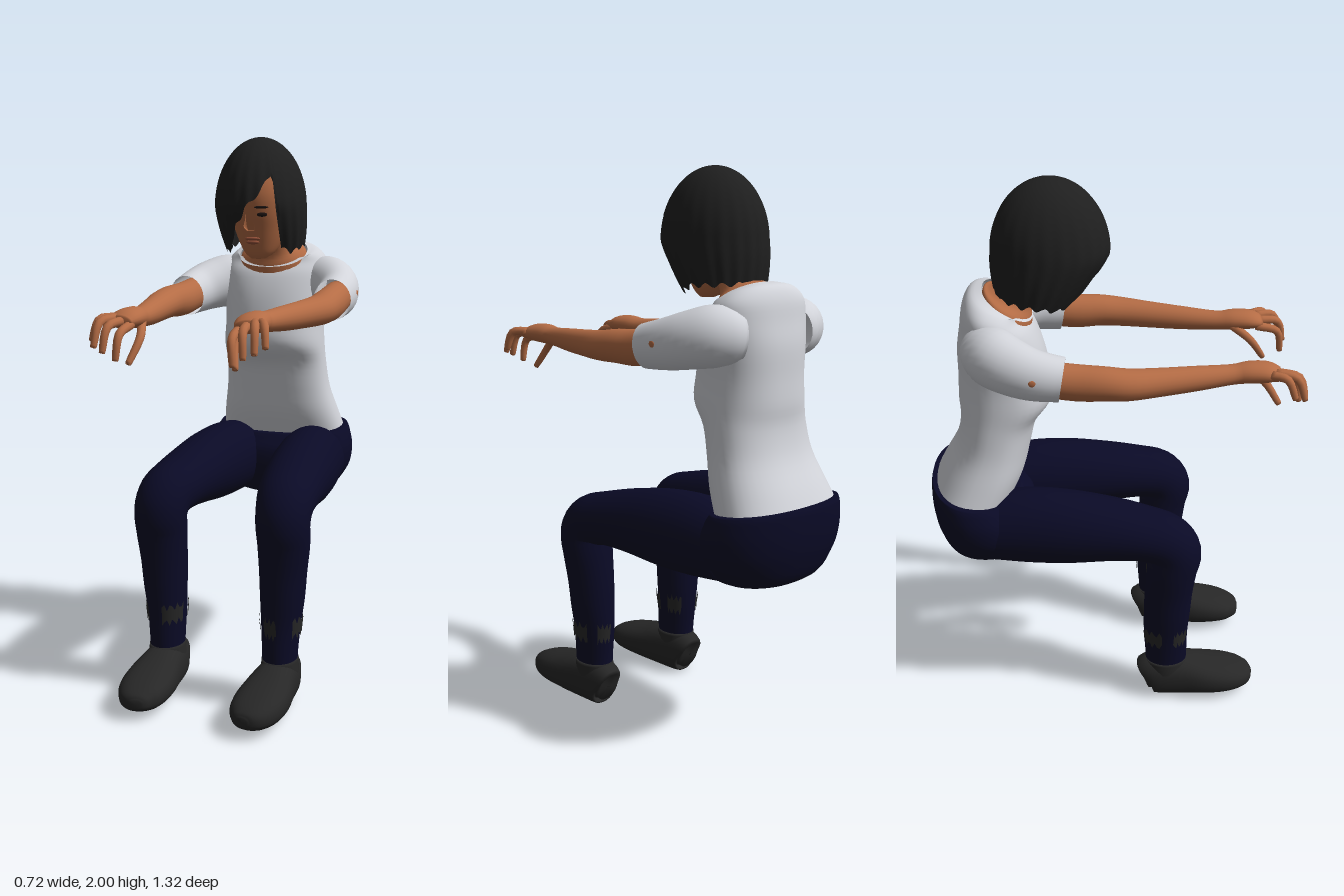
import * as THREE from 'three';

const flat = (name, color, side = THREE.FrontSide) => {
  const m = new THREE.MeshStandardMaterial({ color, side });
  m.name = name;
  return m;
};

// Smooth skin over elliptical sections. Row: [x, y, z, halfWidth, halfDepth, tilt].
// With level = true the sections stay horizontal and tilt slopes them along z.
function loft(rows, { level = false, power = 2, seg = 28, sub = 4, caps = true, floor = -1 } = {}) {
  const path = new THREE.CatmullRomCurve3(rows.map(r => new THREE.Vector3(r[0], r[1], r[2])), false, 'catmullrom');
  const size = new THREE.CatmullRomCurve3(rows.map(r => new THREE.Vector3(r[3], r[4], r[5] || 0)), false, 'catmullrom');
  const steps = (rows.length - 1) * sub, pos = [], idx = [];
  const bend = v => Math.sign(v) * Math.abs(v) ** (2 / power);
  for (let i = 0; i <= steps; i++) {
    const c = path.getPoint(i / steps), s = size.getPoint(i / steps);
    const t = level ? new THREE.Vector3(0, 1, 0) : path.getTangent(i / steps);
    const side = new THREE.Vector3(1, 0, 0).addScaledVector(t, -t.x).normalize();
    const up = t.clone().cross(side);
    for (let j = 0; j < seg; j++) {
      const a = j / seg * Math.PI * 2;
      const p = c.clone().addScaledVector(side, s.x * bend(Math.cos(a))).addScaledVector(up, s.y * bend(Math.sin(a)));
      if (level) p.y += s.z * (p.z - c.z);
      pos.push(p.x, Math.max(p.y, floor), p.z);
    }
  }
  for (let i = 0; i < steps; i++) for (let j = 0; j < seg; j++) {
    const k = (j + 1) % seg, a = i * seg + j, b = i * seg + k;
    idx.push(a, b, a + seg, b, b + seg, a + seg);
  }
  if (caps) {
    const first = rows[0], last = rows[rows.length - 1], n = pos.length / 3;
    pos.push(first[0], first[1], first[2], last[0], last[1], last[2]);
    for (let j = 0; j < seg; j++) {
      const k = (j + 1) % seg;
      idx.push(n, k, j, n + 1, steps * seg + j, steps * seg + k);
    }
  }
  return finish(pos, idx);
}

function finish(pos, idx) {
  const g = new THREE.BufferGeometry();
  g.setAttribute('position', new THREE.Float32BufferAttribute(pos, 3));
  g.setIndex(idx);
  g.computeVertexNormals();
  return g;
}

// Bob haircut: a dome whose lower edge follows a line around the head
function hairGeometry() {
  const edge = [[-180, 1.62], [-90, 1.6], [-60, 1.585], [-36, 1.59], [-29, 1.63], [0, 1.735], [20, 1.8],
    [37, 1.87], [42, 1.6], [60, 1.585], [90, 1.61], [180, 1.62]];
  const cols = 144, rows = 26, pos = [], idx = [];
  for (let i = 0; i <= cols; i++) {
    const deg = -180 + 360 * i / cols, a = deg * Math.PI / 180;
    const k = Math.max(1, edge.findIndex(e => e[0] >= deg));
    const [d0, y0] = edge[k - 1], [d1, y1] = edge[k];
    const bottom = y0 + (y1 - y0) * (deg - d0) / (d1 - d0) + 0.008 * Math.sin(a * 17);
    for (let j = 0; j <= rows; j++) {
      const v = j / rows, y = 2 - (2 - bottom) * (1 - Math.cos(v * Math.PI / 2));
      const h = Math.max(0, (y - 1.75) / 0.25), d = Math.max(0, (1.75 - y) / 0.15);
      const dome = Math.sqrt(Math.max(0, 1 - h * h)) * (1 + 0.012 * v * v * Math.sin(a * 22));
      const w = (0.166 - 0.018 * d * d) * dome, b = (0.2 - 0.055 * d ** 1.3) * dome;
      pos.push(w * Math.sin(a), y, -0.198 - 0.045 * d + b * Math.cos(a));
    }
  }
  for (let i = 0; i < cols; i++) for (let j = 0; j < rows; j++) {
    const a = i * (rows + 1) + j, b = a + rows + 1;
    idx.push(a, a + 1, b, b, a + 1, b + 1);
  }
  return finish(pos, idx);
}

export function createModel() {
  const skin = flat('skin', 0xb46c45), shirt = flat('shirt', 0xd2d4da, THREE.DoubleSide);
  const denim = flat('navy denim', 0x0a0a26, THREE.DoubleSide), hair = flat('hair', 0x1f1f1f, THREE.DoubleSide);
  const shoe = flat('shoe grey', 0x272727), lip = flat('lips', 0x96523a), dark = flat('eye dark', 0x1a1210);
  const model = new THREE.Group();
  const add = (name, geo, mat, parent = model) => {
    const m = new THREE.Mesh(geo, mat);
    m.name = name;
    parent.add(m);
    return m;
  };
  const blob = (name, mat, p, s, parent = model) => {
    const m = add(name, new THREE.SphereGeometry(1, 14, 10), mat, parent);
    m.position.set(...p);
    m.scale.set(...s);
    return m;
  };

  // Torso, neck and pelvis
  add('shirtBody', loft([
    [0, .855, -.505, .252, .145, -.12], [0, .95, -.46, .23, .15], [0, 1.05, -.42, .207, .135],
    [0, 1.15, -.395, .197, .137], [0, 1.23, -.368, .194, .166], [0, 1.32, -.37, .19, .16],
    [0, 1.42, -.38, .195, .148], [0, 1.5, -.39, .2, .125], [0, 1.555, -.4, .19, .103, -.15],
    [0, 1.583, -.385, .158, .092, -.35], [0, 1.575, -.347, .132, .085, -.6],
  ], { level: true, power: 2.3, seg: 40, caps: false }), shirt);
  add('neck', loft([
    [0, 1.54, -.35, .135, .085, -.6], [0, 1.575, -.346, .126, .081, -.6], [0, 1.597, -.335, .088, .07, -.4],
    [0, 1.64, -.3, .07, .07], [0, 1.72, -.25, .07, .075],
  ], { level: true }), skin);
  add('trouserSeat', loft([
    [0, .61, -.45, .1, .08], [0, .64, -.46, .21, .145], [0, .72, -.46, .275, .18],
    [0, .8, -.47, .289, .185], [0, .86, -.485, .275, .172, -.1], [0, .885, -.492, .262, .16, -.12],
  ], { level: true, power: 2.2, seg: 40 }), denim);

  // Head and face
  const head = new THREE.Group();
  head.name = 'head';
  model.add(head);
  add('face', loft([
    [0, 1.56, -.168, .025, .025], [0, 1.58, -.185, .053, .06], [0, 1.62, -.2, .078, .095],
    [0, 1.67, -.2, .096, .117], [0, 1.73, -.195, .11, .14], [0, 1.8, -.195, .12, .157],
    [0, 1.88, -.195, .11, .145], [0, 1.94, -.195, .07, .09],
  ], { level: true }), skin, head);
  add('nose', loft([
    [0, 1.745, -.06, .011, .012], [0, 1.71, -.062, .012, .016], [0, 1.68, -.066, .02, .02], [0, 1.664, -.08, .014, .012],
  ], { level: true, seg: 14 }), skin, head);
  blob('upperLip', lip, [0, 1.635, -.101, ], [.03, .007, .01], head);
  blob('lowerLip', lip, [0, 1.622, -.106], [.025, .008, .011], head);
  add('bobHair', hairGeometry(), hair, head);

  for (const s of [1, -1]) {
    const label = s > 0 ? 'left' : 'right';
    const side = rows => rows.map(([x, ...r]) => [s * x, ...r]);
    const part = (name, rows, mat, opt) => add(label + name, loft(side(rows), opt), mat);

    // Eye and brow
    blob(label + 'Eye', dark, [s * .047, 1.722, -.071], [.019, .008, .006], head).rotation.y = s * .4;
    blob(label + 'Brow', dark, [s * .048, 1.748, -.058], [.026, .005, .006], head).rotation.y = s * .4;

    // Sleeve, with a small worn spot, and arm
    part('Sleeve', [
      [.13, 1.455, -.42, .09, .09], [.2, 1.46, -.395, .098, .102], [.25, 1.447, -.335, .09, .096],
      [.28, 1.43, -.26, .077, .087], [.287, 1.415, -.165, .069, .076],
    ], shirt, { caps: false });
    blob(label + 'SleeveSpot', skin, [s * .354, 1.435, -.26], [.004, .012, .014]);
    part('Arm', [
      [.285, 1.42, -.24, .055, .06], [.29, 1.405, -.12, .056, .062], [.298, 1.403, -.03, .057, .058],
      [.296, 1.397, .05, .057, .053], [.275, 1.393, .15, .05, .048], [.245, 1.39, .28, .043, .042],
      [.22, 1.39, .4, .038, .034], [.215, 1.395, .46, .047, .036], [.215, 1.395, .52, .052, .032],
      [.22, 1.388, .56, .043, .02],
    ], skin, { seg: 22 });

    // Curled fingers and thumb: knuckle, bend, tip
    [[[.253, 1.4, .53], [.281, 1.395, .58], [.293, 1.335, .605]],
      [[.238, 1.4, .545], [.262, 1.39, .615], [.27, 1.32, .642]],
      [[.213, 1.392, .55], [.228, 1.378, .628], [.236, 1.305, .65]],
      [[.186, 1.38, .545], [.19, 1.355, .622], [.197, 1.28, .637]],
      [[.19, 1.385, .45], [.165, 1.335, .52], [.182, 1.262, .57]]].forEach(([a, b, c], i) => {
      const tip = c.map((v, k) => v + (c[k] - b[k]) * .08);
      part(i < 4 ? 'Finger' : 'Thumb', [[...a, .016, .016], [...b, .014, .014], [...c, .011, .011], [...tip, .005, .005]],
        skin, { seg: 10 });
    });

    // Trouser leg: thigh, knee and shin
    part('TrouserLeg', [
      [.15, .755, -.46, .12, .125], [.168, .765, -.3, .125, .143], [.185, .765, -.15, .125, .138],
      [.2, .76, 0, .118, .117], [.215, .747, .12, .109, .1], [.226, .725, .195, .101, .098],
      [.231, .675, .23, .096, .097], [.232, .6, .221, .093, .092], [.228, .5, .212, .085, .089],
      [.225, .4, .208, .079, .087], [.22, .3, .206, .07, .083], [.218, .2, .21, .063, .079], [.218, .13, .21, .061, .077],
    ], denim, { seg: 32 });

    // Ragged grey patches around the shin
    for (let n = 0; n < 4; n++) {
      const patch = new THREE.CylinderGeometry(1.06, .98, .06, 9, 1, true, n * 1.6 + (s > 0 ? .9 : .2), n % 2 ? .7 : 1.1);
      const p = patch.attributes.position;
      for (let i = 0; i < p.count; i++) p.setY(i, p.getY(i) + .014 * Math.sin(i * 2.3 + n));
      patch.scale(.073, 1, .086);
      add(label + 'ShinPatch', patch, shoe).position.set(s * .22, .3, .206);
    }

    // Shoe and its collar
    part('Shoe', [
      [.218, .08, .13, .045, .06], [.218, .09, .16, .064, .086], [.216, .088, .27, .077, .084],
      [.214, .082, .36, .091, .07], [.21, .076, .44, .091, .058], [.202, .071, .5, .074, .045],
      [.195, .069, .535, .045, .03], [.193, .069, .547, .02, .014],
    ], shoe, { power: 2.4, floor: .004 });
    part('ShoeCollar', [
      [.218, .08, .215, .068, .086], [.218, .13, .213, .067, .083], [.218, .172, .211, .064, .08],
    ], shoe, { level: true });
  }
  return model;
}
